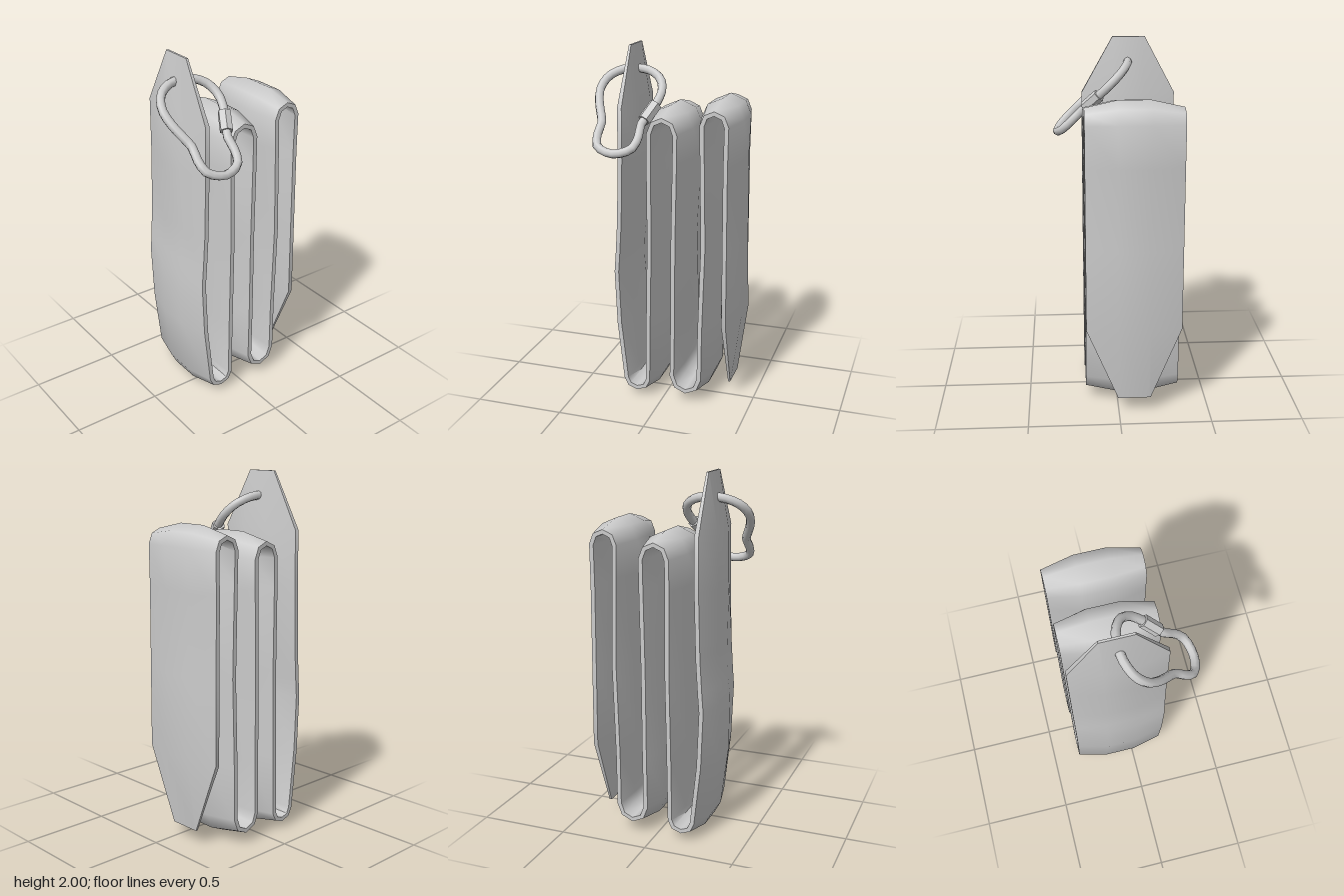
import * as THREE from 'three';
import { toCreasedNormals } from 'three/addons/utils/BufferGeometryUtils.js';

const grey = () => new THREE.MeshStandardMaterial({ color: 0xcccccc });

// Straight run: z, y and the padding on both sides
const leg = (...points) => points.map(([z, y, t]) => ({ z, y, a: t, b: t }));

// Half-round fold from zStart to zEnd; a positive rise turns over the top
function fold(zStart, zEnd, y, rise) {
  return [0, 1, 2, 3, 4].map((k) => {
    const angle = (k * Math.PI) / 4;
    const inner = k % 4 ? 0.013 : 0.025, outer = 0.051;
    return {
      z: (zStart + zEnd) / 2 + ((zStart - zEnd) / 2) * Math.cos(angle),
      y: y + rise * Math.sin(angle),
      a: rise > 0 ? inner : outer,
      b: rise > 0 ? outer : inner,
    };
  });
}

// Strap: an eight-cornered padded section swept along the zigzag path
function strapGeometry() {
  const path = [
    ...leg([0.23, 2, 0.006], [0.232, 1.69, 0.055], [0.234, 1.4, 0.06],
      [0.244, 1.05, 0.045], [0.256, 0.86, 0.04], [0.264, 0.76, 0.045], [0.252, 0.45, 0.055]),
    ...fold(0.215, 0.085, 0.11, -0.057),
    ...leg([0.08, 0.45, 0.055], [0.07, 0.95, 0.038], [0.072, 1.4, 0.051]),
    ...fold(0.07, -0.076, 1.56, 0.078),
    ...leg([-0.074, 1.4, 0.051], [-0.066, 0.95, 0.038], [-0.064, 0.45, 0.055]),
    ...fold(-0.06, -0.22, 0.16, -0.087),
    ...leg([-0.222, 0.45, 0.055], [-0.236, 0.95, 0.042], [-0.226, 1.45, 0.055]),
    ...fold(-0.222, -0.355, 1.62, 0.07),
    ...leg([-0.352, 1.4, 0.045], [-0.355, 0.95, 0.05], [-0.358, 0.5, 0.06], [-0.355, 0.085, 0.006]),
  ];
  const pos = [], index = [], last = path.length - 1;
  const heading = (p, q) => new THREE.Vector2(q.z - p.z, q.y - p.y).normalize();

  path.forEach((p, i) => {
    // bisect the neighbouring directions for the section normal
    const d = new THREE.Vector2();
    if (i > 0) d.add(heading(path[i - 1], p));
    if (i < last) d.add(heading(p, path[i + 1]));
    d.normalize();
    const tip = i === 0 || i === last;
    const xs = tip ? [-0.176, -0.165, -0.005, 0.004] : [-0.343, -0.168, 0.005, 0.178];
    const put = (x, t) => pos.push(x, p.y + d.x * t, p.z - d.y * t);
    const rim = Math.min(0.012, p.a);
    xs.forEach((x, k) => put(x, k % 3 ? p.a : rim));
    [3, 2, 1, 0].forEach((k) => put(xs[k], k % 3 ? -p.b : -rim));
  });

  for (let i = 0; i < last; i++) {
    for (let j = 0; j < 8; j++) {
      const k = (j + 1) % 8, r = i * 8, s = r + 8;
      index.push(r + j, s + j, s + k, r + j, s + k, r + k);
    }
  }
  // end caps
  for (let k = 1; k < 7; k++) {
    index.push(0, k, k + 1, last * 8, last * 8 + k + 1, last * 8 + k);
  }
  const g = new THREE.BufferGeometry();
  g.setAttribute('position', new THREE.Float32BufferAttribute(pos, 3));
  g.setIndex(index);
  return toCreasedNormals(g, 1.05);
}

// The link lies in a plane sloping down to the left
const onLink = ([x, z]) => new THREE.Vector3(x, 1.865 - (x + 0.08) * 0.98, z);

export function createModel() {
  const model = new THREE.Group();
  const add = (name, geometry) => {
    const mesh = new THREE.Mesh(geometry, grey());
    mesh.name = name;
    model.add(mesh);
    return mesh;
  };

  add('foldedStrap', strapGeometry());

  // Pear-shaped link through the strap end, mirrored about its long axis
  const half = [[-0.07, 0.08], [-0.035, 0.147], [0.02, 0.175], [0.08, 0.163], [0.14, 0.132],
    [0.18, 0.111], [0.24, 0.114], [0.29, 0.095]];
  const axis = 0.22;
  const outline = [
    [-0.08, axis],
    ...half.map(([x, r]) => [x, axis - r]),
    [0.318, axis],
    ...half.map(([x, r]) => [x, axis + r]).reverse(),
  ];
  const loop = new THREE.CatmullRomCurve3(outline.map(onLink), true);
  add('linkRing', new THREE.TubeGeometry(loop, 40, 0.024, 8, true));

  // Six-sided locking sleeve on the link
  const start = onLink([0.085, 0.06]), end = onLink([0.16, 0.1]);
  const sleeve = add('lockingSleeve', toCreasedNormals(
    new THREE.CylinderGeometry(0.036, 0.036, start.distanceTo(end), 6), 0.5));
  sleeve.position.copy(start).lerp(end, 0.5);
  sleeve.quaternion.setFromUnitVectors(
    new THREE.Vector3(0, 1, 0), end.clone().sub(start).normalize());

  return model;
}
